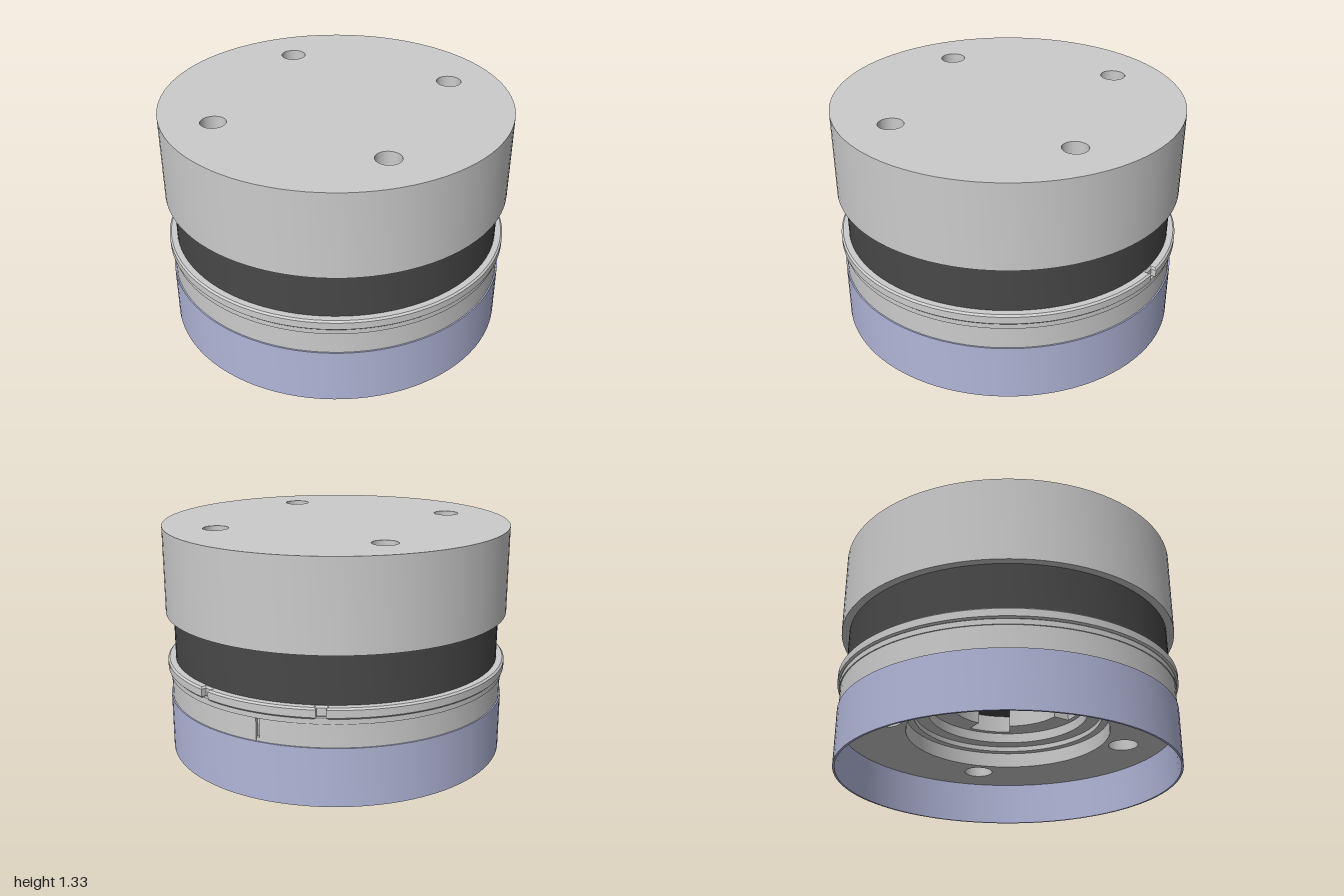
import * as THREE from 'three';
import { toCreasedNormals } from 'three/addons/utils/BufferGeometryUtils.js';

const GREY = new THREE.MeshStandardMaterial({ color: 0xcccccc });
const DARK = new THREE.MeshStandardMaterial({ color: 0x484848 });
const BLUE = new THREE.MeshStandardMaterial({ color: 0xb2b6d8 });
const SEGMENTS = 48;
const rad = THREE.MathUtils.degToRad;
const DIAGONALS = [45, 135, 225, 315];

// Circle whose radius changes to notchR around each given angle (degrees, ascending).
function notchedCircle(path, r, notchR, angles, halfAngle) {
  angles.forEach((a, i) => {
    const next = i + 1 < angles.length ? angles[i + 1] : angles[0] + 360;
    path.absarc(0, 0, notchR, rad(a - halfAngle), rad(a + halfAngle), false);
    path.absarc(0, 0, r, rad(a + halfAngle), rad(next - halfAngle), false);
  });
  path.closePath();
  return path;
}

function circle(path, r, x = 0, y = 0) {
  return path.absarc(x, y, r, 0, Math.PI * 2, false);
}

function addBoltHoles(shape, angles, distance, r) {
  for (const a of angles) {
    shape.holes.push(circle(new THREE.Path(), r, distance * Math.cos(rad(a)), distance * Math.sin(rad(a))));
  }
}

// Flat shape raised from y0 to y1, with an optional small chamfer.
function slab(name, shape, y0, y1, material, chamfer = 0) {
  const geo = new THREE.ExtrudeGeometry(shape, {
    depth: y1 - y0 - 2 * chamfer,
    curveSegments: SEGMENTS,
    bevelEnabled: chamfer > 0,
    bevelSegments: 1,
    bevelSize: chamfer,
    bevelThickness: chamfer,
    bevelOffset: -chamfer,
  });
  geo.rotateX(-Math.PI / 2).translate(0, y0 + chamfer, 0);
  const mesh = new THREE.Mesh(toCreasedNormals(geo, 0.5), material);
  mesh.name = name;
  return mesh;
}

// Turned part: profile of [radius, y], counterclockwise.
function turned(name, profile, material) {
  const geo = new THREE.LatheGeometry(profile.map(([r, y]) => new THREE.Vector2(r, y)), 96);
  const mesh = new THREE.Mesh(toCreasedNormals(geo, 0.5), material);
  mesh.name = name;
  return mesh;
}

export function createModel() {
  const group = new THREE.Group();
  group.name = 'cylindricalCoupling';

  // Top cap with four bolt holes
  const cap = circle(new THREE.Shape(), 1);
  addBoltHoles(cap, DIAGONALS, 0.714, 0.072);
  group.add(slab('topCap', cap, 0.83, 1.33, GREY));

  // Dark body with a blind centre bore
  group.add(turned('darkBody', [
    [0, 0.8], [0.335, 0.8], [0.335, 0.545], [0.955, 0.545], [0.955, 0.83], [0, 0.83],
  ], DARK));

  // Collar with two small notches at the back
  const collar = notchedCircle(new THREE.Shape(), 1, 0.97, [70, 110], 1.5);
  collar.holes.push(circle(new THREE.Path(), 0.93));
  group.add(slab('collar', collar, 0.49, 0.552, GREY, 0.01));

  // Lip under the collar, and the band with a narrow slit at the back
  const lip = circle(new THREE.Shape(), 0.988);
  lip.holes.push(circle(new THREE.Path(), 0.93));
  group.add(slab('collarLip', lip, 0.46, 0.495, GREY));
  const band = notchedCircle(new THREE.Shape(), 0.982, 0.962, [90], 0.6);
  band.holes.push(circle(new THREE.Path(), 0.93));
  group.add(slab('band', band, 0.325, 0.465, GREY));

  // Thin sleeve, open at the bottom
  group.add(turned('sleeve', [
    [0.978, 0], [0.99, 0], [0.99, 0.33], [0.978, 0.33], [0.978, 0],
  ], BLUE));

  // Recessed base plate with bolt holes
  const plate = circle(new THREE.Shape(), 0.98);
  plate.holes.push(circle(new THREE.Path(), 0.594));
  addBoltHoles(plate, [...DIAGONALS, 270], 0.72, 0.088);
  group.add(slab('basePlate', plate, 0.26, 0.352, GREY));

  // Stepped hub socket above the plate
  group.add(turned('hubSocket', [
    [0.55, 0.35], [0.96, 0.35], [0.96, 0.545], [0.47, 0.545], [0.47, 0.38], [0.55, 0.38], [0.55, 0.35],
  ], GREY));

  // Inner ring with four notches cut outward from the bore
  const hub = circle(new THREE.Shape(), 0.472);
  hub.holes.push(notchedCircle(new THREE.Path(), 0.335, 0.44, DIAGONALS, 17));
  group.add(slab('hubRing', hub, 0.44, 0.546, GREY));

  return group;
}
